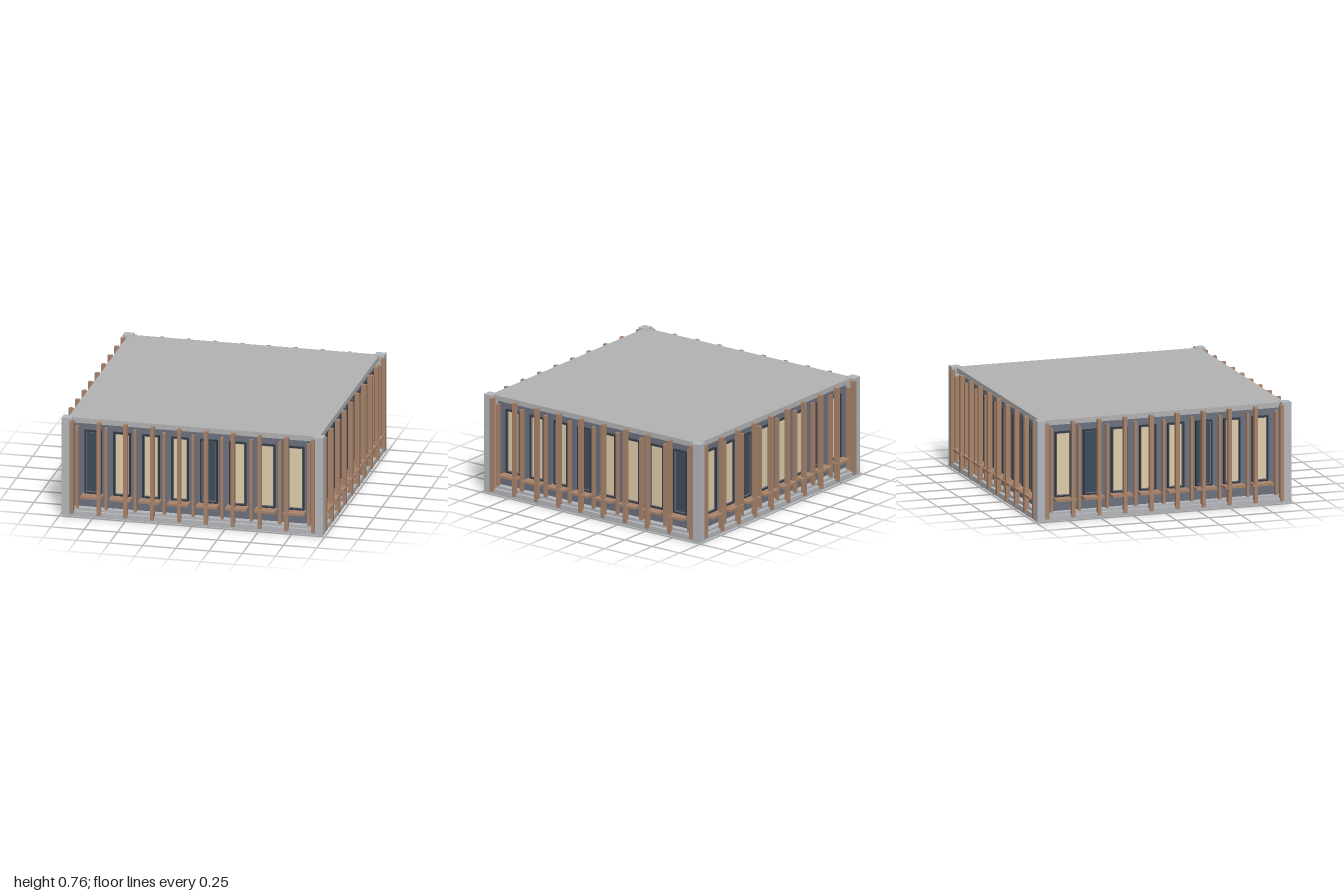
import * as THREE from 'three';

const mat = (color) => new THREE.MeshStandardMaterial({ color });
const concrete = mat(0xb4b6bb);
const roofGrey = mat(0xb2b2b2);
const wallGrey = mat(0x6c717d);
const wood = mat(0xa8836a);
const frameDark = mat(0x343a43);
const glassLit = mat(0xdfcdab);
const glassDark = mat(0x3f4c5c);

// Box given by its minimum and maximum corners
function box(parent, name, material, [x0, y0, z0], [x1, y1, z1]) {
  const mesh = new THREE.Mesh(new THREE.BoxGeometry(x1 - x0, y1 - y0, z1 - z0), material);
  mesh.position.set((x0 + x1) / 2, (y0 + y1) / 2, (z0 + z1) / 2);
  mesh.name = name;
  parent.add(mesh);
  return mesh;
}

// Rectangular ring standing on the wall plane
function frameGeometry(w, h, border, depth) {
  const rect = (T, a, b) => new T([
    new THREE.Vector2(-a, -b), new THREE.Vector2(a, -b),
    new THREE.Vector2(a, b), new THREE.Vector2(-a, b),
  ]);
  const shape = rect(THREE.Shape, w / 2, h / 2);
  shape.holes.push(rect(THREE.Path, w / 2 - border, h / 2 - border));
  return new THREE.ExtrudeGeometry(shape, { depth, bevelEnabled: false });
}

const WALL = 0.91;
const BAY = 0.218;
const windowFrame = frameGeometry(0.128, 0.49, 0.01, 0.02);
const innerFrame = frameGeometry(0.108, 0.47, 0.006, 0.011);

// One facade facing +z; darkBays lists the unlit windows, counted from -x
function createFacade(name, darkBays) {
  const side = new THREE.Group();
  side.name = name;

  for (let i = 0; i < 8; i++) {
    const x = (i - 3.5) * BAY;
    const win = new THREE.Group();
    win.name = 'window';
    win.position.set(x, 0.41, WALL);
    const frame = new THREE.Mesh(windowFrame, frameDark);
    frame.name = 'windowFrame';
    const inner = new THREE.Mesh(innerFrame, wallGrey);
    inner.name = 'windowInnerFrame';
    win.add(frame, inner);
    box(win, 'windowPane', darkBays.includes(i) ? glassDark : glassLit,
      [-0.054, -0.235, -0.01], [0.054, 0.235, 0.005]);
    side.add(win);
    box(side, 'windowSill', wood, [x - 0.079, 0.145, WALL], [x + 0.079, 0.163, 1]);
  }

  // Tall outer fins
  for (let i = 0; i < 10; i++) {
    const x = (i - 4.5) * 0.202;
    box(side, 'tallFin', wood, [x - 0.014, 0.02, 0.96], [x + 0.014, 0.74, 0.995]);
  }

  // Slim inner fins between the bays
  for (let i = 0; i < 9; i++) {
    const x = (i - 4) * BAY;
    box(side, 'slimFin', wood, [x - 0.01, 0.065, 0.945], [x + 0.01, 0.695, 0.975]);
  }
  return side;
}

export function createModel() {
  const model = new THREE.Group();
  model.name = 'buildingStorey';

  // Floor slab, stepped plinth, wall core and roof slab
  box(model, 'floorSlab', concrete, [-0.98, 0, -0.98], [0.98, 0.04, 0.98]);
  box(model, 'plinth', concrete, [-0.955, 0.04, -0.955], [0.955, 0.06, 0.955]);
  box(model, 'walls', wallGrey, [-WALL, 0.06, -WALL], [WALL, 0.715, WALL]);
  box(model, 'roofSlab', roofGrey, [-0.945, 0.713, -0.945], [0.945, 0.752, 0.945]);

  // Corner posts
  for (const sx of [-1, 1]) {
    for (const sz of [-1, 1]) {
      const post = box(model, 'cornerPost', concrete, [-0.037, 0, -0.037], [0.037, 0.757, 0.037]);
      post.position.x = sx * 0.947;
      post.position.z = sz * 0.947;
    }
  }

  // Four facades, each with its own unlit windows
  const facades = [
    ['frontFacade', [0, 4]], ['leftFacade', [3, 7]],
    ['backFacade', [2, 6]], ['rightFacade', [1, 5]],
  ];
  facades.forEach(([name, dark], i) => {
    const side = createFacade(name, dark);
    side.rotation.y = (i * Math.PI) / 2;
    model.add(side);
  });
  return model;
}
